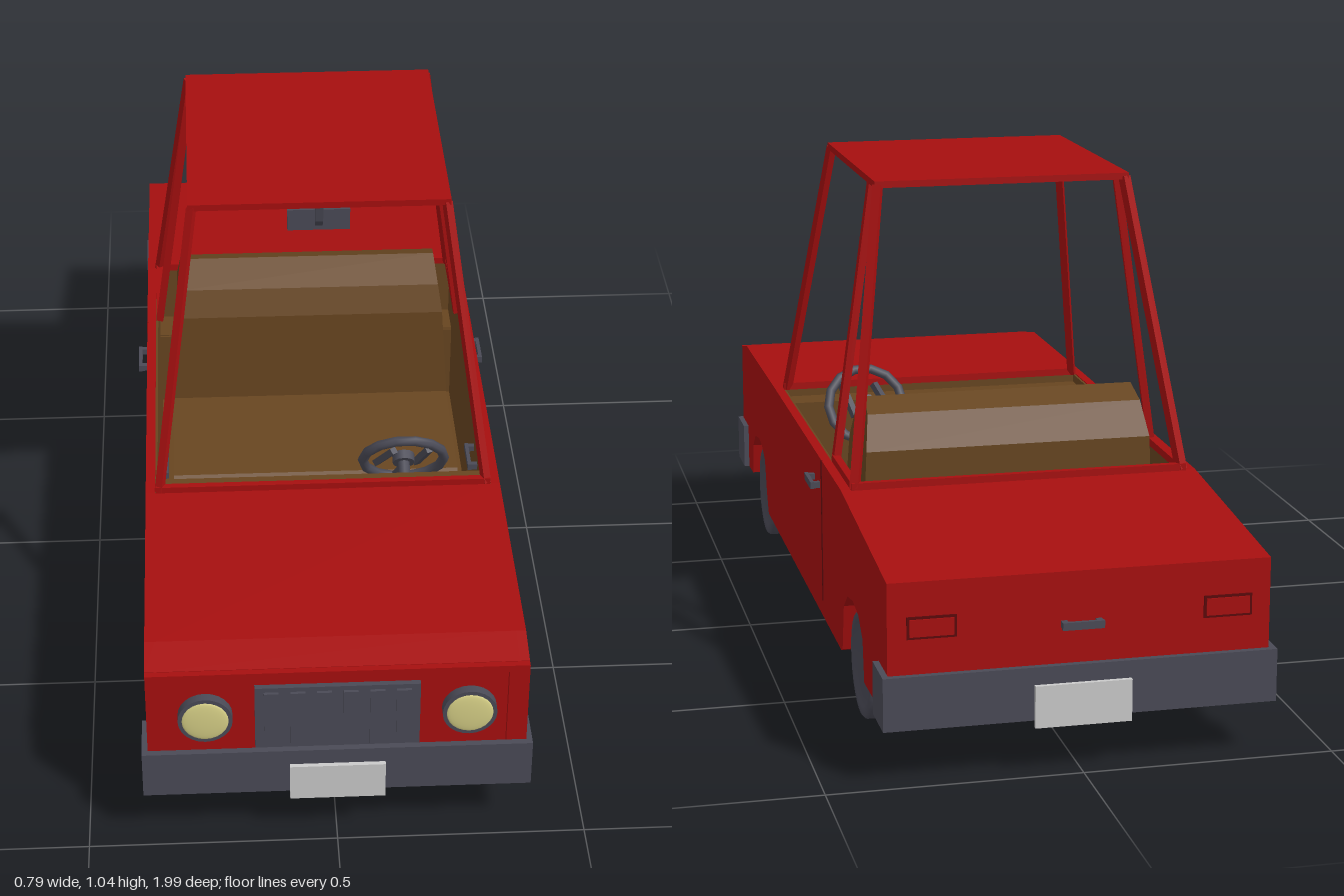
import * as THREE from 'three';

const mat = (name, color, extra = {}) => Object.assign(new THREE.MeshStandardMaterial({ color, ...extra }), { name });

export function createModel() {
  const car = new THREE.Group();
  car.name = 'car';
  const red = mat('body red', 0xa60f0f);
  const darkRed = mat('seam dark red', 0x5a0709);
  const grey = mat('trim grey', 0x4a4a56);
  const brown = mat('interior brown', 0x674520);
  const cream = mat('lamp cream', 0xd6cf86);
  const white = mat('plate light grey', 0xcacaca);

  const add = (name, geo, material, x = 0, y = 0, z = 0, parent = car) => {
    const m = new THREE.Mesh(geo, material);
    m.name = name;
    m.position.set(x, y, z);
    parent.add(m);
    return m;
  };
  const box = (name, material, w, h, d, x, y, z, parent) =>
    add(name, new THREE.BoxGeometry(w, h, d), material, x, y, z, parent);
  const shapeOf = (pts) => new THREE.Shape(pts.map((p) => new THREE.Vector2(...p)));
  // Side profile of [z, y] points, extruded across x and centred
  const across = (pts, width) => {
    const g = new THREE.ExtrudeGeometry(shapeOf(pts), { depth: width, bevelEnabled: false });
    return g.translate(0, 0, -width / 2).rotateY(-Math.PI / 2);
  };
  // Square bar between two points
  const bar = (name, a, b, t, material = red, parent = car) => {
    const p = new THREE.Vector3(...a), q = new THREE.Vector3(...b);
    const m = box(name, material, t, t, p.distanceTo(q), 0, 0, 0, parent);
    m.position.copy(p).add(q).multiplyScalar(0.5);
    m.lookAt(q);
    return m;
  };
  const rect = (w, y0, y1) => [[-w, y0], [w, y0], [w, y1], [-w, y1]];

  // Body: underside with wheel arches, shared by the side walls and the core
  const under = [
    [-0.97, 0.395], [-0.97, 0.12], [-0.73, 0.115], [-0.715, 0.2], [-0.67, 0.235], [-0.61, 0.245],
    [-0.55, 0.235], [-0.505, 0.2], [-0.485, 0.1], [-0.47, 0.093], [0.55, 0.093], [0.575, 0.14],
    [0.6, 0.215], [0.65, 0.24], [0.7, 0.245], [0.76, 0.235], [0.8, 0.2], [0.815, 0.125],
    [0.962, 0.12], [0.962, 0.421], [0.89, 0.437],
  ];
  const cabin = [[0.41, 0.44], [0.41, 0.115], [-0.4, 0.115], [-0.4, 0.3], [-0.485, 0.3], [-0.485, 0.44]];
  add('bodyCore', across([...under, ...cabin], 0.71), red);
  for (const s of [1, -1]) {
    add('bodySide', across([...under, [0.41, 0.44], [-0.485, 0.44]], 0.02), red, s * 0.365);
    box('doorSeam', darkRed, 0.004, 0.31, 0.007, s * 0.3745, 0.285, -0.25);
  }

  // Raised frame around the nose panel
  const nose = shapeOf(rect(0.375, 0.12, 0.42));
  nose.holes.push(new THREE.Path(rect(0.335, 0.16, 0.405).map((p) => new THREE.Vector2(...p))));
  add('noseFrame', new THREE.ExtrudeGeometry(nose, { depth: 0.014, bevelEnabled: false }), red, 0, 0, 0.961);

  // Grille with six upright ribs
  box('grille', grey, 0.325, 0.17, 0.014, 0, 0.295, 0.966);
  for (let i = 0; i < 6; i++) box('grilleRib', grey, 0.029, 0.135, 0.008, (i - 2.5) * 0.052, 0.302, 0.975);

  // Headlights and tail lights
  for (const s of [1, -1]) {
    add('headlightRing', new THREE.CylinderGeometry(0.054, 0.054, 0.02, 24).rotateX(Math.PI / 2), grey, s * 0.26, 0.308, 0.971);
    const lens = new THREE.SphereGeometry(0.046, 24, 8, 0, Math.PI * 2, 0, Math.PI / 2).rotateX(Math.PI / 2);
    add('headlightLens', lens.scale(1, 1, 0.12), cream, s * 0.26, 0.308, 0.9815);
    box('tailLightSeat', darkRed, 0.096, 0.044, 0.004, s * 0.29, 0.305, -0.971);
    box('tailLight', red, 0.086, 0.034, 0.007, s * 0.29, 0.305, -0.972);
  }

  // Wrap-around bumpers with number plates
  for (const s of [1, -1]) {
    const y = s > 0 ? 0.176 : 0.162;
    box('bumper', grey, 0.774, 0.106, 0.013, 0, y, s * 0.9815);
    for (const k of [1, -1]) box('bumperEnd', grey, 0.012, 0.106, 0.1, k * 0.381, y, s * 0.935);
    box('numberPlate', white, 0.19, 0.084, 0.009, 0, y - 0.024, s * 0.9925);
  }

  // Wheels and axles
  const tyre = [[0, 0.02], [0.055, 0.02], [0.065, 0.025], [0.082, 0.022], [0.086, 0.03], [0.104, 0.03],
    [0.11, 0.024], [0.11, -0.03], [0.08, -0.03], [0.076, -0.02], [0, -0.02]].reverse();
  for (const z of [0.695, -0.61]) {
    add('axle', new THREE.CylinderGeometry(0.02, 0.02, 0.62, 12).rotateZ(Math.PI / 2), grey, 0, 0.11, z);
    for (const s of [1, -1]) {
      const g = new THREE.LatheGeometry(tyre.map((p) => new THREE.Vector2(...p)), 28);
      add('wheel', g.rotateZ(-s * Math.PI / 2), grey, s * 0.331, 0.11, z);
    }
  }

  // Roof, pillars and the sills that carry them
  box('roof', red, 0.54, 0.014, 0.57, 0, 1.036, -0.04);
  for (const s of [1, -1]) {
    bar('frontPillar', [s * 0.346, 0.44, 0.405], [s * 0.262, 1.034, 0.237], 0.016);
    bar('middlePillar', [s * 0.346, 0.44, -0.262], [s * 0.262, 1.034, -0.253], 0.016);
    bar('rearPillar', [s * 0.346, 0.44, -0.483], [s * 0.262, 1.034, -0.317], 0.018);
    bar('rearSill', [s * 0.346, 0.446, -0.26], [s * 0.346, 0.446, -0.49], 0.016);
  }
  for (const z of [0.405, -0.485]) box('crossSill', red, 0.708, 0.016, 0.014, 0, 0.446, z);

  // Outer and inner door handles, boot handle
  const handle = (name, x, y, z, turn) => {
    const h = new THREE.Group();
    h.name = name;
    h.position.set(x, y, z);
    h.rotation.y = turn;
    box('grip', grey, 0.082, 0.015, 0.008, 0, 0, 0.017, h);
    for (const k of [1, -1]) box('post', grey, 0.012, 0.013, 0.016, k * 0.034, 0, 0.007, h);
    car.add(h);
  };
  for (const s of [1, -1]) {
    handle('doorHandle', s * 0.375, 0.38, -0.188, s * Math.PI / 2);
    handle('innerHandle', s * 0.35, 0.34, 0.175, -s * Math.PI / 2);
  }
  handle('bootHandle', 0, 0.292, -0.97, Math.PI);

  // Cabin lining
  box('floorLining', brown, 0.71, 0.006, 0.81, 0, 0.117, 0.005);
  box('firewallLining', brown, 0.71, 0.32, 0.006, 0, 0.278, 0.408);
  box('shelfLining', brown, 0.71, 0.006, 0.085, 0, 0.302, -0.442);
  box('shelfStep', brown, 0.71, 0.185, 0.006, 0, 0.21, -0.398);
  box('rearLining', brown, 0.71, 0.138, 0.006, 0, 0.369, -0.483);
  for (const s of [1, -1]) box('doorLining', brown, 0.006, 0.322, 0.89, s * 0.353, 0.277, -0.038);
  box('dashboard', brown, 0.7, 0.11, 0.07, 0, 0.365, 0.371);

  // Bench seat, narrowing towards the top
  const seat = across([[-0.39, 0.12], [0.13, 0.12], [0.13, 0.23], [0.1, 0.255], [-0.19, 0.265], [-0.2, 0.48],
    [-0.225, 0.54], [-0.29, 0.585], [-0.35, 0.56], [-0.39, 0.49]], 2);
  const sp = seat.attributes.position;
  for (let i = 0; i < sp.count; i++) sp.setX(i, sp.getX(i) * Math.min(0.32, 0.31 - 0.15 * (sp.getY(i) - 0.45)));
  seat.computeVertexNormals();
  add('benchSeat', seat, brown);

  // Steering wheel
  const steering = new THREE.Group();
  steering.name = 'steeringWheel';
  steering.position.set(0.18, 0.42, 0.285);
  steering.rotation.x = 0.5;
  add('rim', new THREE.TorusGeometry(0.088, 0.011, 8, 14), grey, 0, 0, 0, steering);
  add('hub', new THREE.CylinderGeometry(0.024, 0.024, 0.02, 12).rotateX(Math.PI / 2), grey, 0, 0, 0, steering);
  for (const a of [0.3, Math.PI - 0.3, -Math.PI / 2])
    bar('spoke', [0, 0, 0], [0.085 * Math.cos(a), 0.085 * Math.sin(a), 0], 0.014, grey, steering);
  add('column', new THREE.CylinderGeometry(0.013, 0.013, 0.1, 10).rotateX(Math.PI / 2), grey, 0, 0, 0.05, steering);
  car.add(steering);

  // Gear lever on a small console
  box('gearConsole', grey, 0.1, 0.1, 0.12, 0, 0.17, 0.23);
  bar('gearLever', [0, 0.21, 0.23], [0, 0.31, 0.25], 0.014, grey);
  add('gearKnob', new THREE.SphereGeometry(0.026, 12, 8), grey, 0, 0.32, 0.25);

  // Rear-view mirror hung from the roof
  bar('mirrorStalk', [0, 1.032, 0.23], [0, 0.99, 0.222], 0.016, grey);
  bar('mirrorArm', [0, 0.995, 0.224], [0, 0.972, 0.203], 0.016, grey);
  box('mirror', grey, 0.13, 0.048, 0.009, 0, 0.979, 0.202);

  return car;
}
